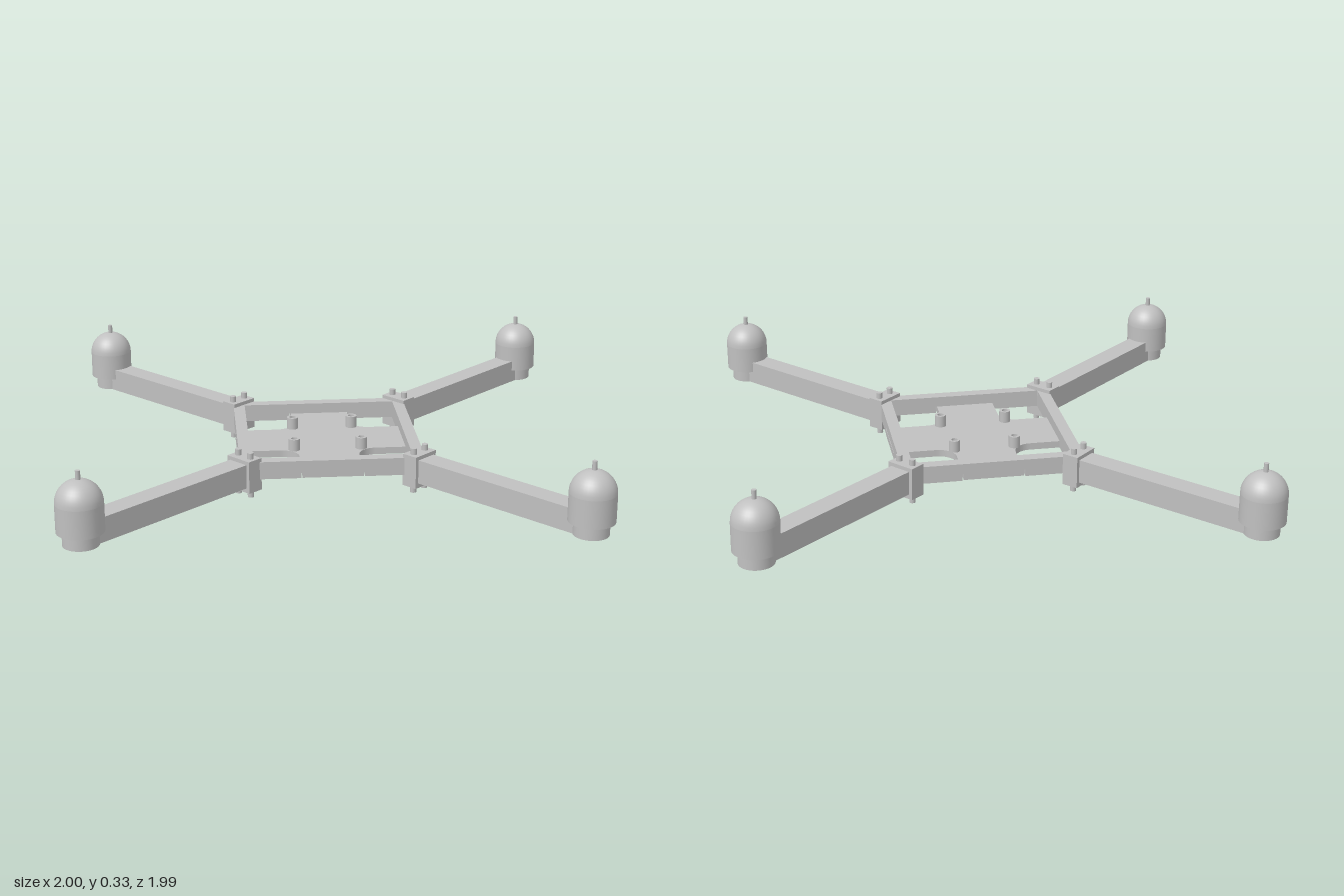
import * as THREE from 'three';

export function createModel() {
  const grey = new THREE.MeshStandardMaterial({ color: 0xc0c0c0 });
  grey.name = 'plain grey';
  const root = new THREE.Group();
  root.name = 'quadcopterFrame';

  const add = (parent, name, geo, x = 0, y = 0, z = 0) => {
    const m = new THREE.Mesh(geo, grey);
    m.name = name;
    m.position.set(x, y, z);
    parent.add(m);
    return m;
  };
  const V = (x, y) => new THREE.Vector2(x, y);
  const disc = (r, h, n = 32) => new THREE.CylinderGeometry(r, r, h, n);

  // Cross-shaped base plate with filleted inner corners, its ends seated in the rail notches
  const w = 0.115, d = 0.12, L = 0.349, r = 0.07;
  const cross = new THREE.Shape();
  cross.moveTo(L, -d);
  cross.lineTo(L, d);
  cross.lineTo(w + r, d);
  cross.absarc(w + r, d + r, r, -Math.PI / 2, -Math.PI, true);
  cross.lineTo(w, L);
  cross.lineTo(-w, L);
  cross.lineTo(-w, d + r);
  cross.absarc(-w - r, d + r, r, 0, -Math.PI / 2, true);
  cross.lineTo(-L, d);
  cross.lineTo(-L, -d);
  cross.lineTo(-w - r, -d);
  cross.absarc(-w - r, -d - r, r, Math.PI / 2, 0, true);
  cross.lineTo(-w, -L);
  cross.lineTo(w, -L);
  cross.lineTo(w, -d - r);
  cross.absarc(w + r, -d - r, r, Math.PI, Math.PI / 2, true);
  const plateGeo = new THREE.ExtrudeGeometry(cross, { depth: 0.027, bevelEnabled: false, curveSegments: 10 });
  plateGeo.rotateX(-Math.PI / 2);
  add(root, 'basePlate', plateGeo, 0, 0.07, 0);

  // Hollow standoffs on the plate
  const h = 0.046;
  const ring = new THREE.LatheGeometry(
    [V(0.012, 0), V(0.022, 0), V(0.022, 0), V(0.022, h), V(0.022, h), V(0.012, h), V(0.012, h), V(0.012, 0)], 20);
  for (const [x, z] of [[-0.13, 0.115], [0.13, 0.115], [0.115, -0.135], [-0.12, -0.135]])
    add(root, 'standoff', ring, x, 0.097, z);

  // Four side rails, notched underneath to receive the plate
  const rail = new THREE.Shape([
    V(-0.325, 0.07), V(-0.12, 0.07), V(-0.12, 0.097), V(0.12, 0.097),
    V(0.12, 0.07), V(0.325, 0.07), V(0.325, 0.138), V(-0.325, 0.138),
  ]);
  const railGeo = new THREE.ExtrudeGeometry(rail, { depth: 0.045, bevelEnabled: false });
  railGeo.translate(0, 0, -0.0225);
  add(root, 'frontRail', railGeo, 0, 0, 0.329);
  add(root, 'backRail', railGeo, 0, 0, -0.332);
  add(root, 'leftRail', railGeo, 0.325, 0, 0).rotation.y = Math.PI / 2;
  add(root, 'rightRail', railGeo, -0.326, 0, 0).rotation.y = Math.PI / 2;

  // Domed motor body as one profile
  const dome = [V(0, 0.1), V(0.085, 0.1), V(0.085, 0.1), V(0.085, 0.205), V(0.085, 0.205)];
  for (let i = 1; i <= 10; i++) {
    const a = (i / 10) * Math.PI / 2;
    dome.push(V(i === 10 ? 0 : 0.085 * Math.cos(a), 0.205 + 0.085 * Math.sin(a)));
  }
  const domeGeo = new THREE.LatheGeometry(dome, 36);

  // Arm assemblies: clamp position, motor position, upward tilt
  const arms = [
    ['frontLeftArm', 0.326, 0.33, 0.85, 0.91, 0],
    ['frontRightArm', -0.331, 0.324, -0.915, 0.849, 0],
    ['backLeftArm', 0.333, -0.336, 0.917, -0.85, 0.018],
    ['backRightArm', -0.326, -0.343, -0.86, -0.914, 0],
  ];
  for (const [name, cx, cz, mx, mz, tilt] of arms) {
    const g = new THREE.Group();
    g.name = name;
    g.position.set(cx, -0.004, cz);
    g.rotation.order = 'YZX';
    g.rotation.set(0, Math.atan2(cz - mz, mx - cx), tilt);
    const len = Math.hypot(mx - cx, mz - cz);
    add(g, 'armBeam', new THREE.BoxGeometry(len, 0.092, 0.086), len / 2, 0.096, 0);
    add(g, 'clamp', new THREE.BoxGeometry(0.065, 0.125, 0.115), 0, 0.094, 0);
    for (const s of [-1, 1])
      add(g, 'clampBolt', disc(0.012, 0.175, 16), 0, 0.0925, s * 0.032);
    add(g, 'motorBase', disc(0.065, 0.052), len, 0.076, 0);
    add(g, 'motorBody', domeGeo, len, 0, 0);
    add(g, 'motorShaft', disc(0.009, 0.05, 12), len, 0.297, 0);
    root.add(g);
  }
  return root;
}
